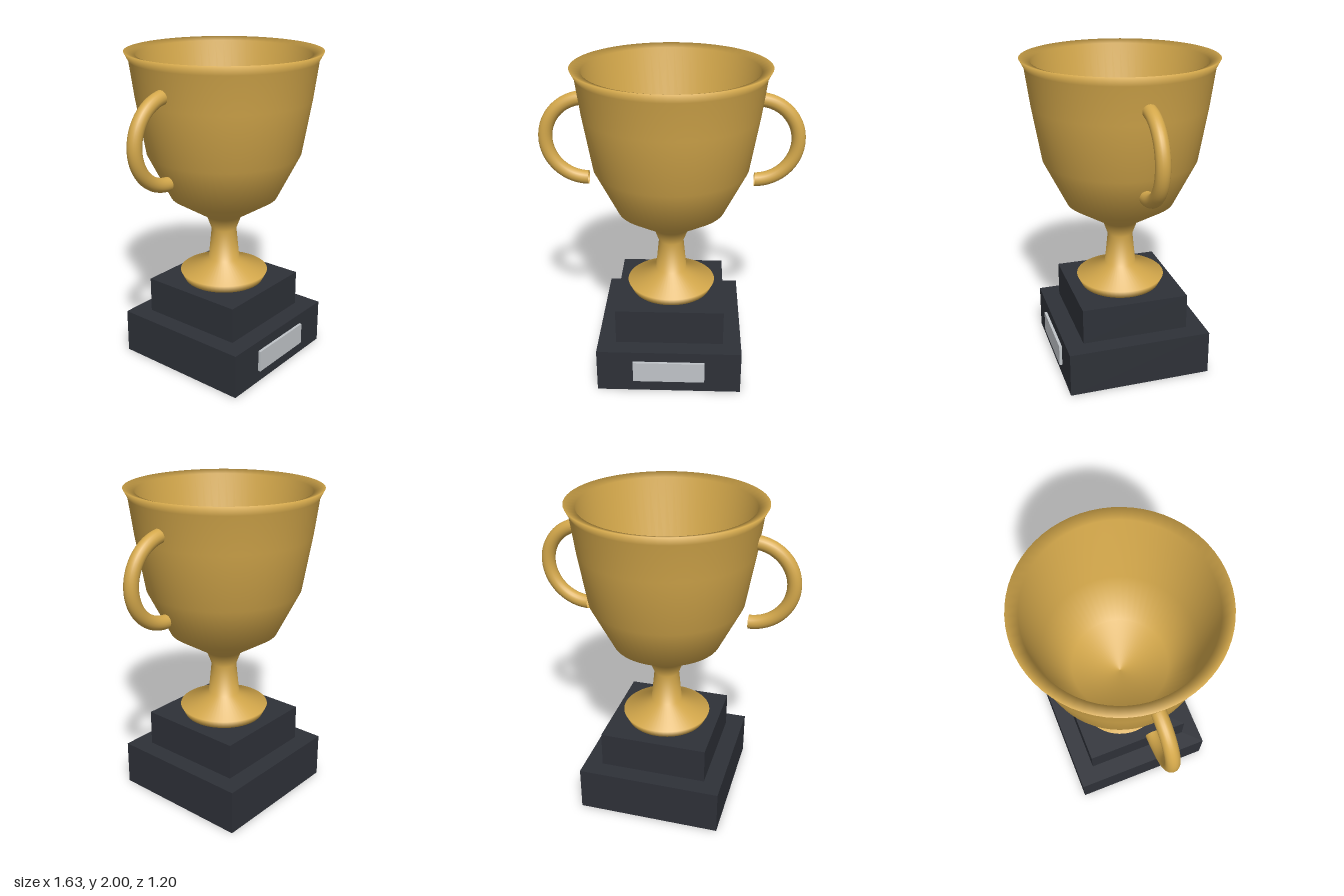
import * as THREE from 'three';

const gold = new THREE.MeshStandardMaterial({ color: 0xd4a84b, side: THREE.DoubleSide });
const dark = new THREE.MeshStandardMaterial({ color: 0x2e3138 });
const silver = new THREE.MeshStandardMaterial({ color: 0xc0c4c8 });

export function createModel() {
  const trophy = new THREE.Group();
  trophy.name = 'trophy';

  const add = (name, geometry, material, x = 0, y = 0, z = 0) => {
    const mesh = new THREE.Mesh(geometry, material);
    mesh.name = name;
    mesh.position.set(x, y, z);
    trophy.add(mesh);
    return mesh;
  };

  // Stepped square plinth with a name plate on the front
  add('lowerPlinth', new THREE.BoxGeometry(0.915, 0.287, 0.915), dark, 0, 0.1435, 0);
  add('upperPlinth', new THREE.BoxGeometry(0.685, 0.23, 0.685), dark, 0, 0.402, 0);
  add('plate', new THREE.BoxGeometry(0.454, 0.14, 0.03), silver, 0, 0.15, 0.46);

  // Foot, stem, bowl, flared rim and hollow inside as one turned profile
  const profile = [
    [0, 0.517], [0.257, 0.517], [0.284, 0.573], [0.1, 0.657], [0.08, 0.86],
    [0.112, 0.947], [0.34, 1.09], [0.482, 1.375], [0.54, 1.72], [0.57, 1.945],
    [0.598, 2], [0.53, 1.98], [0.46, 1.45], [0.3, 1.16], [0, 1.06],
  ].map(([r, y]) => new THREE.Vector2(r, y));
  add('cup', new THREE.LatheGeometry(profile, 64), gold);

  // Half-ring handles, mirrored left and right
  for (const side of [1, -1]) {
    const handle = new THREE.TorusGeometry(0.257, 0.043, 20, 40, Math.PI);
    handle.rotateZ(-side * Math.PI / 2);
    add(side > 0 ? 'leftHandle' : 'rightHandle', handle, gold, side * 0.515, 1.545, 0);
  }

  return trophy;
}
